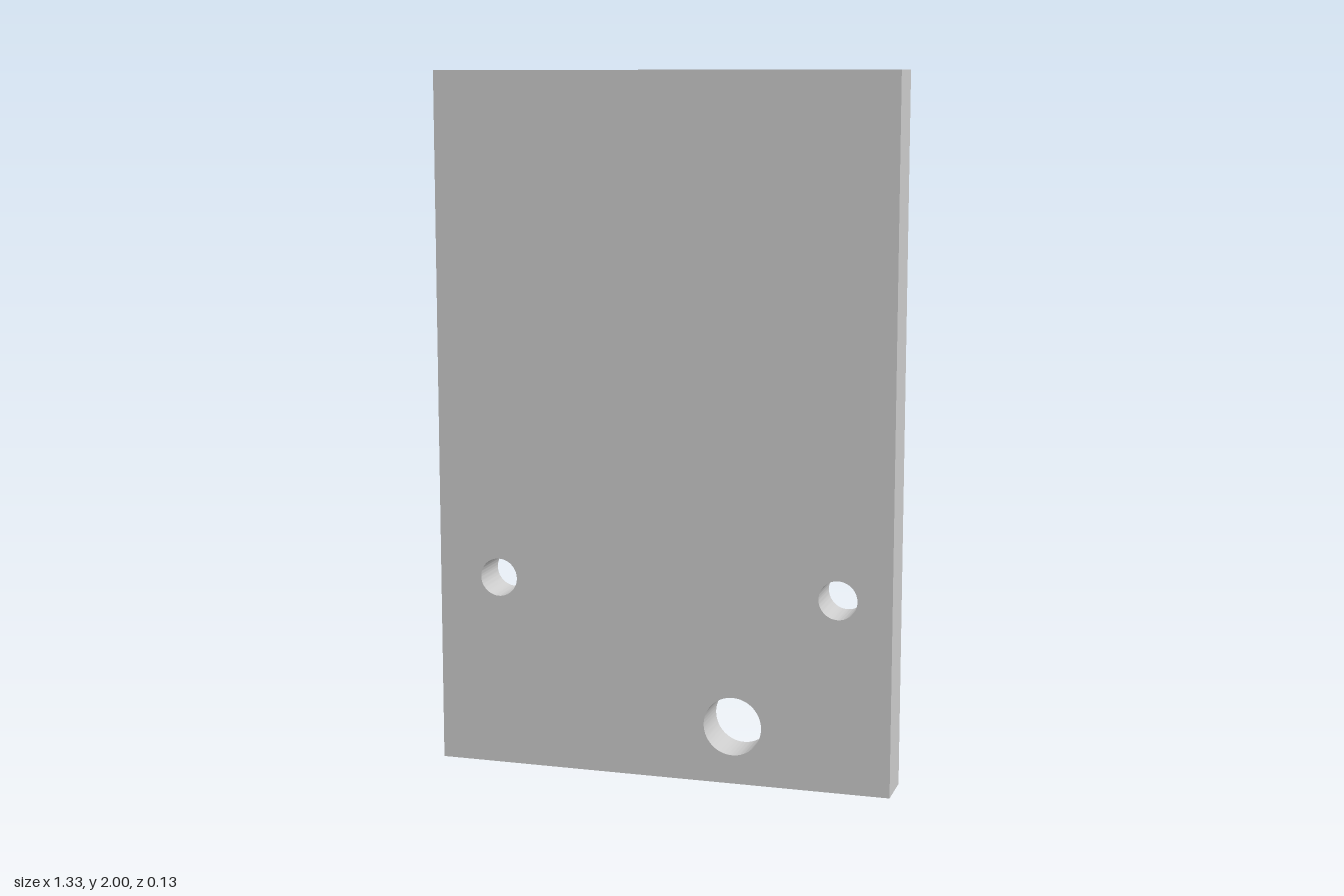
import * as THREE from 'three';
import { toCreasedNormals } from 'three/addons/utils/BufferGeometryUtils.js';

const WIDTH = 1.333, HEIGHT = 2, DEPTH = 0.133;

// Through holes: x, y, radius
const HOLES = [
  [-0.487, 0.553, 0.055],
  [0.513, 0.553, 0.055],
  [0.213, 0.167, 0.084],
];

export function createModel() {
  const group = new THREE.Group();
  group.name = 'drilledPlate';

  // Rectangular outline standing on the ground
  const w = WIDTH / 2;
  const outline = new THREE.Shape();
  outline.moveTo(-w, 0);
  outline.lineTo(w, 0);
  outline.lineTo(w, HEIGHT);
  outline.lineTo(-w, HEIGHT);
  outline.closePath();

  for (const [x, y, r] of HOLES) {
    outline.holes.push(new THREE.Path().absarc(x, y, r, 0, Math.PI * 2, true));
  }

  // Plate with sharp edges and smooth bores
  const geometry = new THREE.ExtrudeGeometry(outline, {
    depth: DEPTH, bevelEnabled: false, curveSegments: 48,
  });
  geometry.translate(0, 0, -DEPTH / 2);

  const material = new THREE.MeshStandardMaterial({ color: 0xcccccc });
  const plate = new THREE.Mesh(toCreasedNormals(geometry, 0.6), material);
  plate.name = 'plate';
  group.add(plate);
  return group;
}
